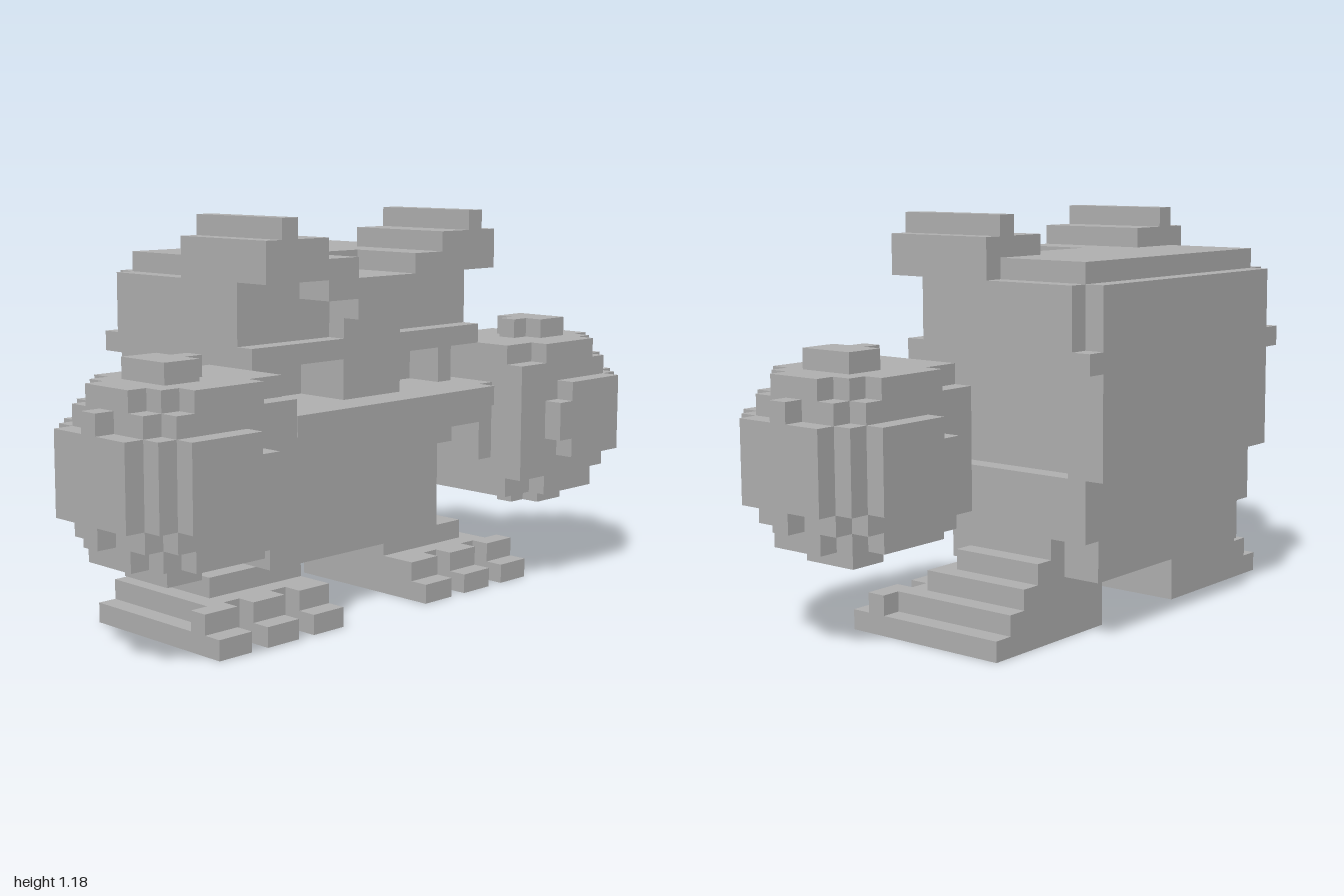
import * as THREE from 'three';

const U = 1 / 17; // one block

export function createModel() {
  const model = new THREE.Group();
  model.name = 'blockCreature';
  const grey = new THREE.MeshStandardMaterial({ color: 0xb0b0b0 });
  grey.name = 'grey';

  // Each box is given as x0, x1, y0, y1, z0, z1 in blocks
  function part(name, boxes, parent = model) {
    const group = new THREE.Group();
    group.name = name;
    for (const [x0, x1, y0, y1, z0, z1] of boxes) {
      const geo = new THREE.BoxGeometry((x1 - x0) * U, (y1 - y0) * U, (z1 - z0) * U);
      geo.translate(((x0 + x1) * U) / 2, ((y0 + y1) * U) / 2, ((z0 + z1) * U) / 2);
      const mesh = new THREE.Mesh(geo, grey);
      mesh.name = name;
      group.add(mesh);
    }
    parent.add(group);
  }
  // Same boxes on the left (+x) and the right
  function pair(name, boxes) {
    part('left' + name, boxes);
    part('right' + name, boxes.map(([a, b, ...r]) => [-b, -a, ...r]));
  }

  // Torso, with a side groove at the waist
  part('torso', [
    [-6, 6, 3, 5, -6.5, 2.5],
    [-7, 7, 3, 5, -4.5, 0.5],
    [-7, 7, 4, 8, -4.5, 1.5],
    [-7, 7, 5, 8, -6.5, 1.5],
    [-6, 6, 5, 8, -6.5, 2.5],
    [-6, 6, 8, 9, -7.5, 3.5],
    [-7, 7, 8, 9, -7.5, -5.5],
    [-7, 7, 9, 11, -7.5, 2.5],
    [-7, 7, 11, 13, -7.5, 0.5],
  ]);

  // Stepped lower jaw
  part('lowerJaw', [
    [-7, 7, 9, 10, 0.5, 4.5],
    [-7, 7, 10, 11, 0.5, 5.5],
  ]);
  pair('MouthCorner', [[6, 7, 11, 13, 0.5, 2.5]]);

  // Head with open eye sockets under the brow
  part('head', [
    [-8, 8, 13, 14, -7.5, 3.5],
    [-8, 8, 14, 17, -6.5, 2.5],
    [-7, 7, 14, 17, -7.5, -6.5],
    [-7, 7, 17, 18, -6.5, 0.5],
  ]);
  part('brow', [
    [-4, 4, 16, 17, 2.5, 4.5],
    [-2, 2, 15, 16, 2.5, 4.5],
    [-7, -2, 17, 18, 0.5, 4.5],
    [2, 7, 17, 18, 0.5, 4.5],
  ]);
  part('nose', [[-2, 2, 11, 15, 0.5, 3.5]]);

  // Ridges on top of the head
  pair('Crest', [
    [4, 8, 17, 19, -1.5, 4.5],
    [6, 7, 19, 20, -1.5, 4.5],
  ]);

  // Arms and big round fists
  pair('Arm', [[7, 8, 7, 11, 0.5, 4.5]]);
  pair('Fist', [
    [8, 15, 6, 12, -0.5, 6.5],
    [8, 15, 5, 13, 0.5, 5.5],
    [10, 14, 5, 13, -0.5, 6.5],
    [8, 16, 7, 11, -0.5, 6.5],
    [8, 16, 6, 12, 0.5, 5.5],
    [8, 16, 5, 13, 1.5, 4.5],
    // outer caps
    [16, 17, 7, 11, 0.5, 5.5],
    [16, 17, 6, 12, 2.5, 3.5],
    // front and back caps
    [11, 15, 7, 11, -1.5, 7.5],
    [10, 11, 8, 10, -1.5, 7.5],
    // top and bottom caps
    [12, 14, 4, 14, 1.5, 4.5],
    [11, 12, 4, 14, 2.5, 3.5],
  ]);

  // Stepped feet
  pair('Foot', [
    [3, 11, 0, 1, -4.5, 2.5],
    [3, 10, 1, 2, -4.5, 2.5],
    [3, 9, 2, 3, -4.5, 1.5],
    [3, 8, 3, 4, -4.5, 0.5],
  ]);
  // Three toes on each foot
  for (const x of [3, 6, 9]) {
    pair('Toe', [
      [x, x + 2, 0, 1, 2.5, 4.5],
      [x, x + 2, 1, 2, 2.5, 3.5],
    ]);
  }
  return model;
}
